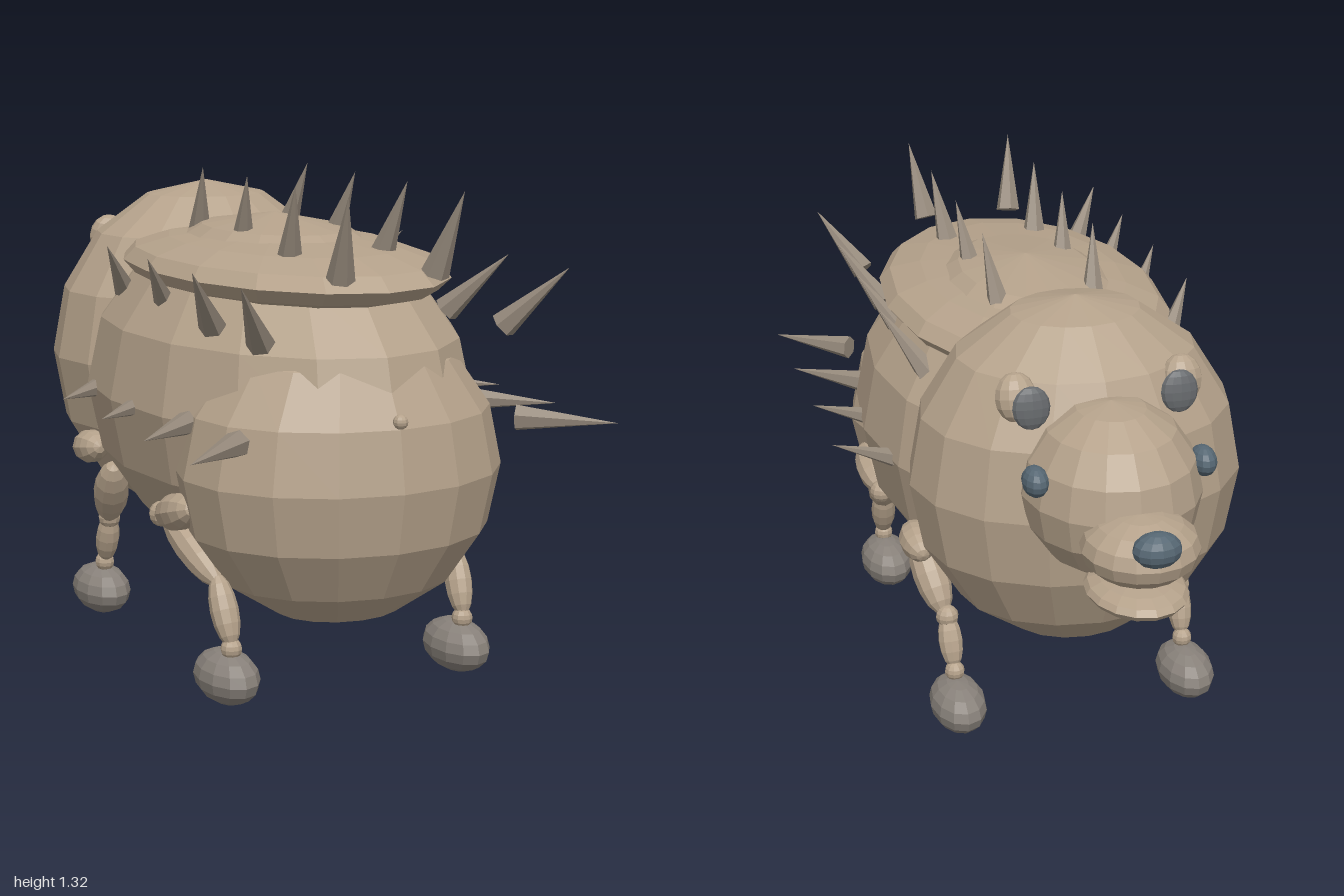
import * as THREE from 'three';

const mat = (name, color) => {
  const m = new THREE.MeshStandardMaterial({ color, flatShading: true });
  m.name = name;
  return m;
};

export function createModel() {
  const model = new THREE.Group();
  model.name = 'spinyAnimal';
  const hide = mat('beigeHide', 0xb5a28b);
  const spikeMat = mat('spikeTaupe', 0x968a7c);
  const pawMat = mat('pawGrey', 0x88817a);
  const dark = mat('slateBlue', 0x566773);
  const innerEarMat = mat('innerEarGrey', 0x66696c);

  // Faceted ellipsoid at p with radii r
  function ellipsoid(name, material, p, r, parent = model, seg = 16, rows = 8) {
    const mesh = new THREE.Mesh(new THREE.SphereGeometry(1, seg, rows), material);
    mesh.name = name;
    mesh.position.set(...p);
    mesh.scale.set(...r);
    parent.add(mesh);
    return mesh;
  }

  // Turn a mesh so its y axis runs from a to b, centred between them
  const up = new THREE.Vector3(0, 1, 0);
  function span(mesh, a, b) {
    const va = new THREE.Vector3(...a), vb = new THREE.Vector3(...b);
    mesh.position.copy(va).add(vb).multiplyScalar(0.5);
    mesh.quaternion.setFromUnitVectors(up, vb.sub(va).normalize());
    return mesh;
  }
  const dist = (a, b) => Math.hypot(a[0] - b[0], a[1] - b[1], a[2] - b[2]);
  function limb(name, a, b, r, parent) {
    span(ellipsoid(name, hide, [0, 0, 0], [r, dist(a, b) / 2, r], parent, 10, 8), a, b);
  }
  function spike(name, a, b, r, parent) {
    const mesh = new THREE.Mesh(new THREE.ConeGeometry(r, dist(a, b), 6), spikeMat);
    mesh.name = name;
    parent.add(span(mesh, a, b));
  }

  // Trunk, facing -z
  ellipsoid('body', hide, [0, 0.72, 0.2], [0.478, 0.48, 0.71]);
  ellipsoid('rump', hide, [0, 0.58, 0.595], [0.435, 0.41, 0.362]);
  ellipsoid('shoulders', hide, [0, 0.757, -0.27], [0.455, 0.49, 0.372]);
  ellipsoid('backPlate', hide, [0, 1.065, 0.24], [0.39, 0.093, 0.625]);
  ellipsoid('tail', hide, [0, 0.757, 0.928], [0.019, 0.019, 0.019], model, 10, 8);

  // Head
  ellipsoid('skull', hide, [0, 0.84, -0.58], [0.235, 0.235, 0.26]);
  ellipsoid('muzzle', hide, [0, 0.785, -0.825], [0.152, 0.09, 0.155]);
  ellipsoid('jaw', hide, [0, 0.655, -0.8], [0.13, 0.04, 0.165]);
  ellipsoid('nose', dark, [0, 0.835, -0.952], [0.063, 0.046, 0.048], model, 12, 8);

  for (const s of [1, -1]) {
    const side = s > 0 ? 'left' : 'right';
    ellipsoid(side + 'Eye', dark, [s * 0.222, 0.915, -0.66], [0.034, 0.04, 0.05], model, 12, 8);
    const ear = ellipsoid(side + 'Ear', hide, [s * 0.222, 1.07, -0.485], [0.055, 0.065, 0.042], model, 12, 8);
    ear.rotation.x = 0.25;
    const inner = ellipsoid(side + 'InnerEar', innerEarMat, [s * 0.197, 1.06, -0.54], [0.05, 0.057, 0.019], model, 12, 8);
    inner.rotation.x = 0.12;

    // Front leg
    const front = new THREE.Group();
    front.name = side + 'FrontLeg';
    model.add(front);
    limb('shoulder', [s * 0.41, 0.535, -0.065], [s * 0.41, 0.51, -0.215], 0.048, front);
    limb('upperLeg', [s * 0.385, 0.49, -0.03], [s * 0.345, 0.3, -0.175], 0.05, front);
    ellipsoid('knee', hide, [s * 0.34, 0.3, -0.185], [0.032, 0.032, 0.032], front, 10, 8);
    limb('lowerLeg', [s * 0.34, 0.31, -0.18], [s * 0.335, 0.16, -0.235], 0.034, front);
    ellipsoid('ankle', hide, [s * 0.335, 0.155, -0.24], [0.028, 0.028, 0.028], front, 10, 8);
    ellipsoid('paw', pawMat, [s * 0.335, 0.07, -0.27], [0.077, 0.07, 0.125], front, 12, 8);

    // Hind leg
    const hind = new THREE.Group();
    hind.name = side + 'HindLeg';
    model.add(hind);
    limb('thigh', [s * 0.4, 0.5, 0.575], [s * 0.4, 0.44, 0.37], 0.05, hind);
    ellipsoid('knee', hide, [s * 0.4, 0.44, 0.362], [0.034, 0.034, 0.034], hind, 10, 8);
    limb('shin', [s * 0.39, 0.45, 0.37], [s * 0.345, 0.305, 0.61], 0.046, hind);
    limb('lowerLeg', [s * 0.345, 0.33, 0.595], [s * 0.335, 0.155, 0.67], 0.037, hind);
    ellipsoid('ankle', hide, [s * 0.335, 0.15, 0.665], [0.028, 0.028, 0.028], hind, 10, 8);
    ellipsoid('paw', pawMat, [s * 0.335, 0.07, 0.635], [0.077, 0.07, 0.125], hind, 12, 8);

    // Three rows of four spikes, all swept towards the rear
    const spikes = new THREE.Group();
    spikes.name = side + 'Spikes';
    model.add(spikes);
    for (let i = 0; i < 4; i++) {
      const z = 0.29 * i;
      spike('topSpike', [s * 0.13, 1.105, z - 0.015], [s * 0.157, 1.315, z + 0.077], 0.036, spikes);
      spike('upperSideSpike', [s * 0.335, 0.96, z - 0.03], [s * 0.445, 1.117, z + 0.1], 0.036, spikes);
      spike('sideSpike', [s * 0.39, 0.717, z - 0.045], [s * 0.585, 0.717, z + 0.125], 0.035, spikes);
    }
  }
  return model;
}
